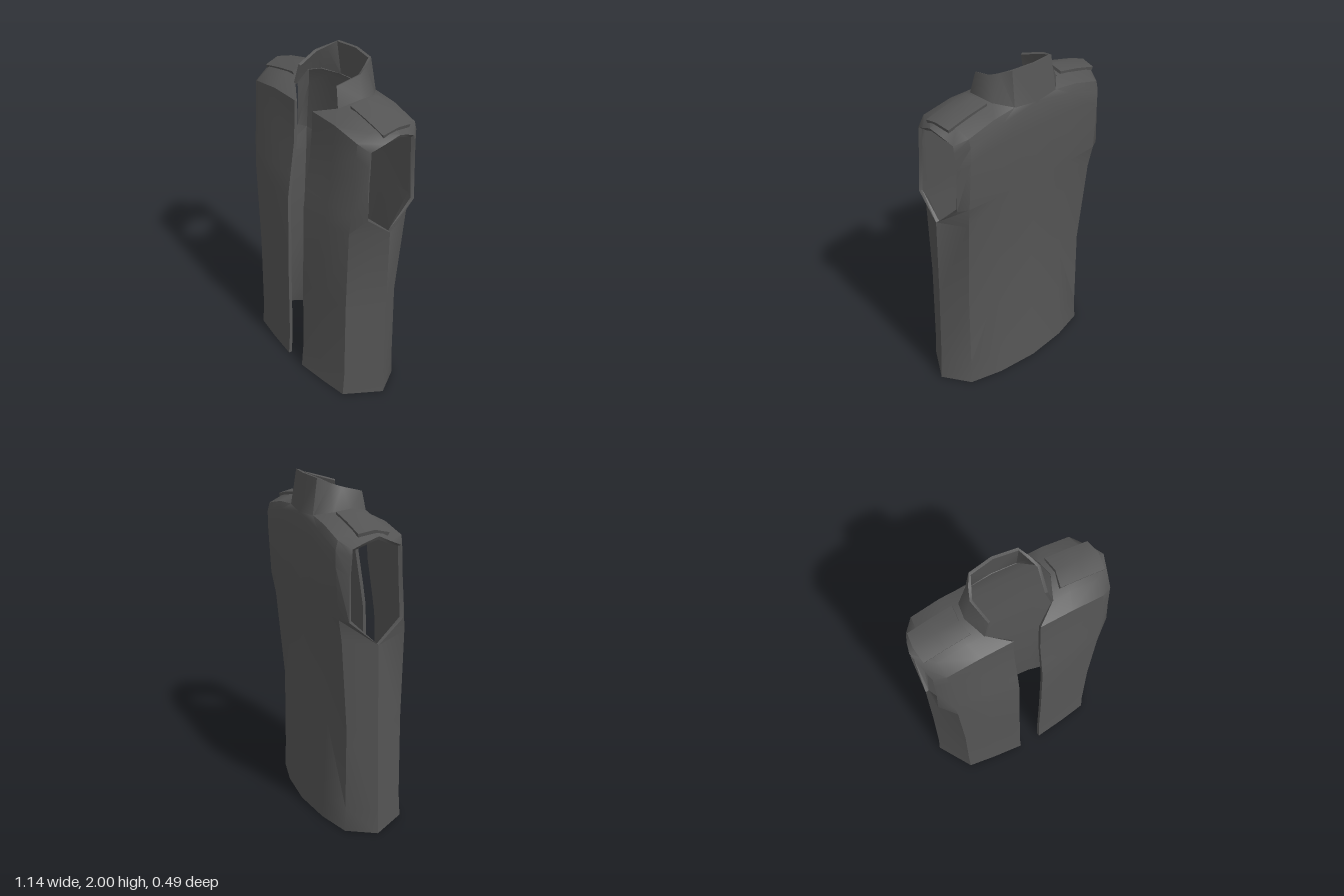
import * as THREE from 'three';
import { mergeVertices, toCreasedNormals } from 'three/addons/utils/BufferGeometryUtils.js';

// Grid of [x, y, z] points -> indexed geometry on the sides given (1 = left, -1 = mirrored)
function sheet(rows, sides) {
  const pos = [], idx = [];
  const n = rows[0].length;
  for (const s of sides) {
    const base = pos.length / 3;
    for (const row of rows) for (const [x, y, z] of row) pos.push(s * x, y, z);
    for (let i = 0; i < rows.length - 1; i++) {
      for (let j = 0; j < n - 1; j++) {
        const a = base + i * n + j, b = a + 1, c = a + n, d = c + 1;
        if (s > 0) idx.push(a, b, d, a, d, c);
        else idx.push(a, d, b, a, c, d);
      }
    }
  }
  const geo = new THREE.BufferGeometry();
  geo.setAttribute('position', new THREE.Float32BufferAttribute(pos, 3));
  geo.setIndex(idx);
  return mergeVertices(geo, 1e-4);
}

// Give a sheet an inner face and close every open edge with a rim
function thicken(geo, t) {
  geo.computeVertexNormals();
  const p = geo.attributes.position, nor = geo.attributes.normal, index = [...geo.index.array];
  const n = p.count, pos = [...p.array], out = [...index], edges = new Set();
  for (let i = 0; i < n * 3; i++) pos.push(p.array[i] - nor.array[i] * t);
  for (let i = 0; i < index.length; i += 3) {
    const [a, b, c] = index.slice(i, i + 3);
    out.push(a + n, c + n, b + n);
    for (const [u, v] of [[a, b], [b, c], [c, a]]) edges.add(u + ',' + v);
  }
  for (const e of edges) {
    const [u, v] = e.split(',').map(Number);
    if (!edges.has(v + ',' + u)) out.push(u, u + n, v + n, u, v + n, v);
  }
  const solid = new THREE.BufferGeometry();
  solid.setAttribute('position', new THREE.Float32BufferAttribute(pos, 3));
  solid.setIndex(out);
  return toCreasedNormals(solid, 0.75);
}

export function createModel() {
  const group = new THREE.Group();
  const cloth = new THREE.MeshStandardMaterial({ color: 0x555555, side: THREE.DoubleSide });
  const add = (name, rows, sides, t) => {
    const mesh = new THREE.Mesh(thicken(sheet(rows, sides), t), cloth);
    mesh.name = name;
    group.add(mesh);
  };

  // Side seam below the armhole, from hem to armhole point
  const seam = [[0.555, 0, -0.01], [0.548, 0.15, -0.01], [0.543, 0.65, -0.015], [0.545, 1.16, -0.02]];

  // Front panel, hem to chest: opening, middle, front corner, seam or armhole edge
  const front = [
    [[0.07, 0, 0.245], [0.26, 0, 0.225], [0.43, 0, 0.2], seam[0]],
    [[0.072, 0.15, 0.233], [0.26, 0.15, 0.215], [0.43, 0.15, 0.19], seam[1]],
    [[0.075, 0.65, 0.228], [0.26, 0.65, 0.212], [0.43, 0.65, 0.187], seam[2]],
    [[0.075, 1.16, 0.218], [0.26, 1.16, 0.208], [0.45, 1.18, 0.188], seam[3]],
    [[0.075, 1.29, 0.2], [0.27, 1.29, 0.195], [0.46, 1.29, 0.178], [0.535, 1.29, 0.13]],
    [[0.077, 1.5, 0.168], [0.27, 1.5, 0.17], [0.46, 1.5, 0.163], [0.525, 1.5, 0.125]],
    [[0.08, 1.65, 0.158], [0.27, 1.65, 0.16], [0.46, 1.65, 0.157], [0.525, 1.6, 0.12]],
  ];

  // Shoulder, front to back: neck, middle, outer, armhole edge
  const shoulder = [
    [[0.08, 1.755, 0.155], [0.27, 1.755, 0.155], [0.46, 1.725, 0.15], [0.525, 1.69, 0.115]],
    [[0.2, 1.795, 0.07], [0.3, 1.8, 0.07], [0.47, 1.765, 0.07], [0.548, 1.725, 0.04]],
    [[0.25, 1.835, -0.045], [0.33, 1.825, -0.045], [0.49, 1.79, -0.045], [0.57, 1.765, -0.04]],
    [[0.235, 1.825, -0.14], [0.33, 1.81, -0.14], [0.48, 1.775, -0.14], [0.552, 1.735, -0.11]],
    [[0.15, 1.8, -0.22], [0.3, 1.785, -0.225], [0.47, 1.74, -0.225], [0.53, 1.7, -0.172]],
  ];

  // Back panel, neck to hem: centre, middle, back corner, armhole edge or seam
  const back = [
    [[0, 1.79, -0.235], [0.25, 1.75, -0.238], [0.47, 1.69, -0.238], [0.53, 1.66, -0.178]],
    [[0, 1.65, -0.245], [0.25, 1.65, -0.242], [0.47, 1.6, -0.238], [0.525, 1.55, -0.185]],
    [[0, 1.31, -0.233], [0.25, 1.31, -0.232], [0.475, 1.31, -0.222], [0.535, 1.31, -0.19]],
    [[0, 1.16, -0.225], [0.25, 1.16, -0.222], [0.465, 1.18, -0.2], seam[3]],
    [[0, 0.65, -0.205], [0.25, 0.65, -0.195], [0.445, 0.65, -0.16], seam[2]],
    [[0, 0.15, -0.235], [0.25, 0.15, -0.215], [0.445, 0.15, -0.165], seam[1]],
    [[0, 0, -0.245], [0.25, 0, -0.222], [0.45, 0, -0.17], seam[0]],
  ];
  add('vestBody', [...front, ...shoulder, ...back], [1, -1], 0.02);

  // Standing collar, front edge to centre back: top, base
  add('collar', [
    [[0.17, 1.91, 0.062], [0.2, 1.79, 0.075]],
    [[0.2, 1.95, -0.07], [0.25, 1.83, -0.045]],
    [[0.175, 1.97, -0.13], [0.235, 1.82, -0.14]],
    [[0.14, 1.995, -0.19], [0.15, 1.79, -0.222]],
    [[0, 2, -0.21], [0, 1.78, -0.237]],
  ], [1, -1], 0.016);

  // Raised shoulder patches
  const patch = [
    [[0.26, 1.826, 0.04], [0.4, 1.8, 0.04], [0.53, 1.768, 0.04]],
    [[0.28, 1.848, -0.05], [0.4, 1.826, -0.05], [0.542, 1.793, -0.05]],
    [[0.27, 1.836, -0.14], [0.4, 1.812, -0.14], [0.53, 1.778, -0.14]],
  ];
  add('leftShoulderPatch', patch, [1], 0.02);
  add('rightShoulderPatch', patch, [-1], 0.02);
  return group;
}
